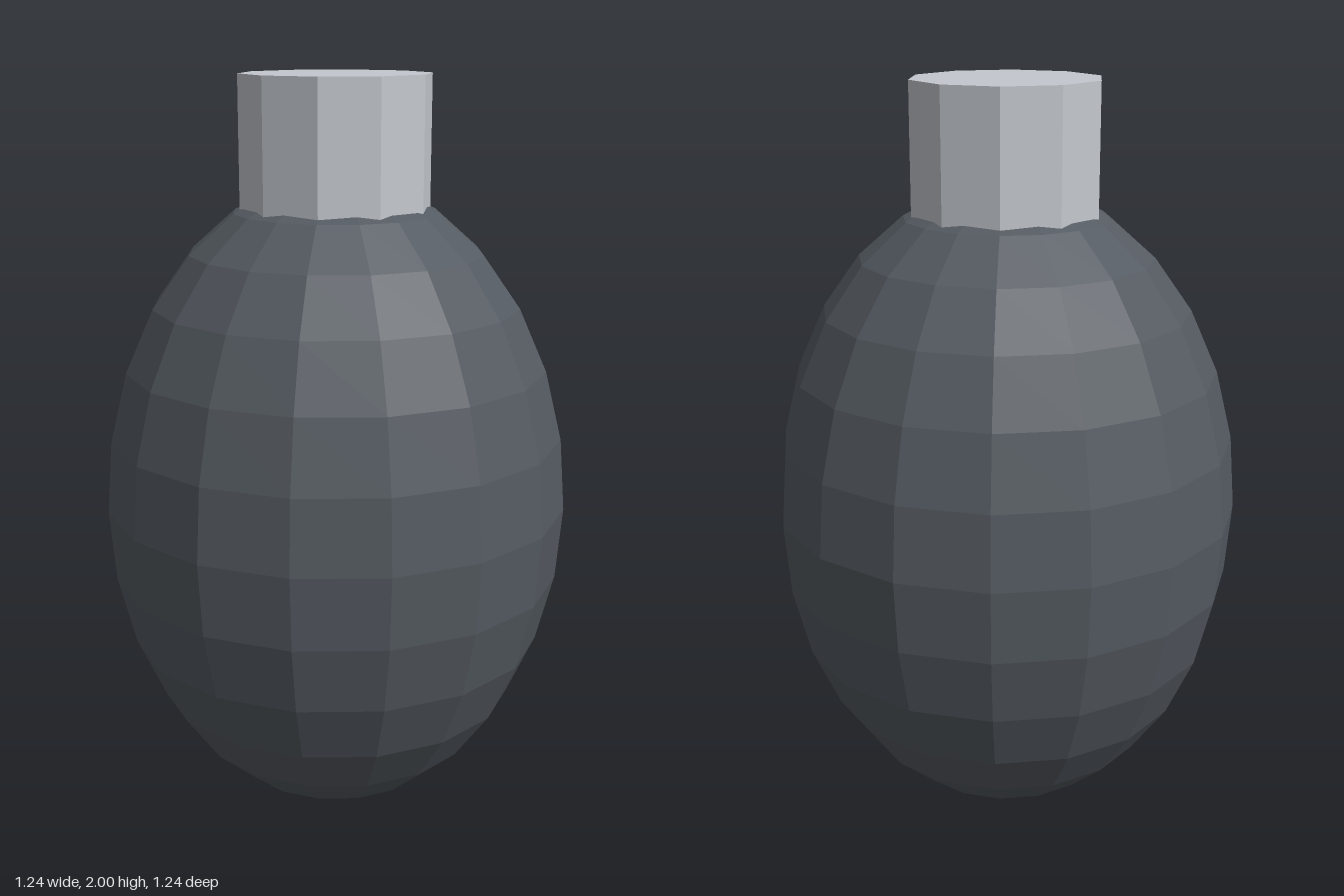
import * as THREE from 'three';

export function createModel() {
  const group = new THREE.Group();
  const make = (name, geometry, material, y) => {
    const mesh = new THREE.Mesh(geometry.toNonIndexed(), material);
    mesh.geometry.computeVertexNormals(); // faceted normals
    mesh.name = name;
    mesh.position.y = y;
    group.add(mesh);
  };

  const darkGrey = new THREE.MeshStandardMaterial({ color: 0x555b62, flatShading: true });
  darkGrey.name = 'dark grey';
  const lightGrey = new THREE.MeshStandardMaterial({ color: 0xc4c8ce, flatShading: true });
  lightGrey.name = 'light grey';

  // Egg-shaped body: a faceted sphere stretched upwards
  const body = new THREE.SphereGeometry(0.62, 16, 14);
  body.scale(1, 1.4, 1);
  make('body', body, darkGrey, 0.87);

  // Ten-sided neck, sunk into the top of the body
  make('neck', new THREE.CylinderGeometry(0.25, 0.25, 0.42, 10), lightGrey, 1.79);

  return group;
}
